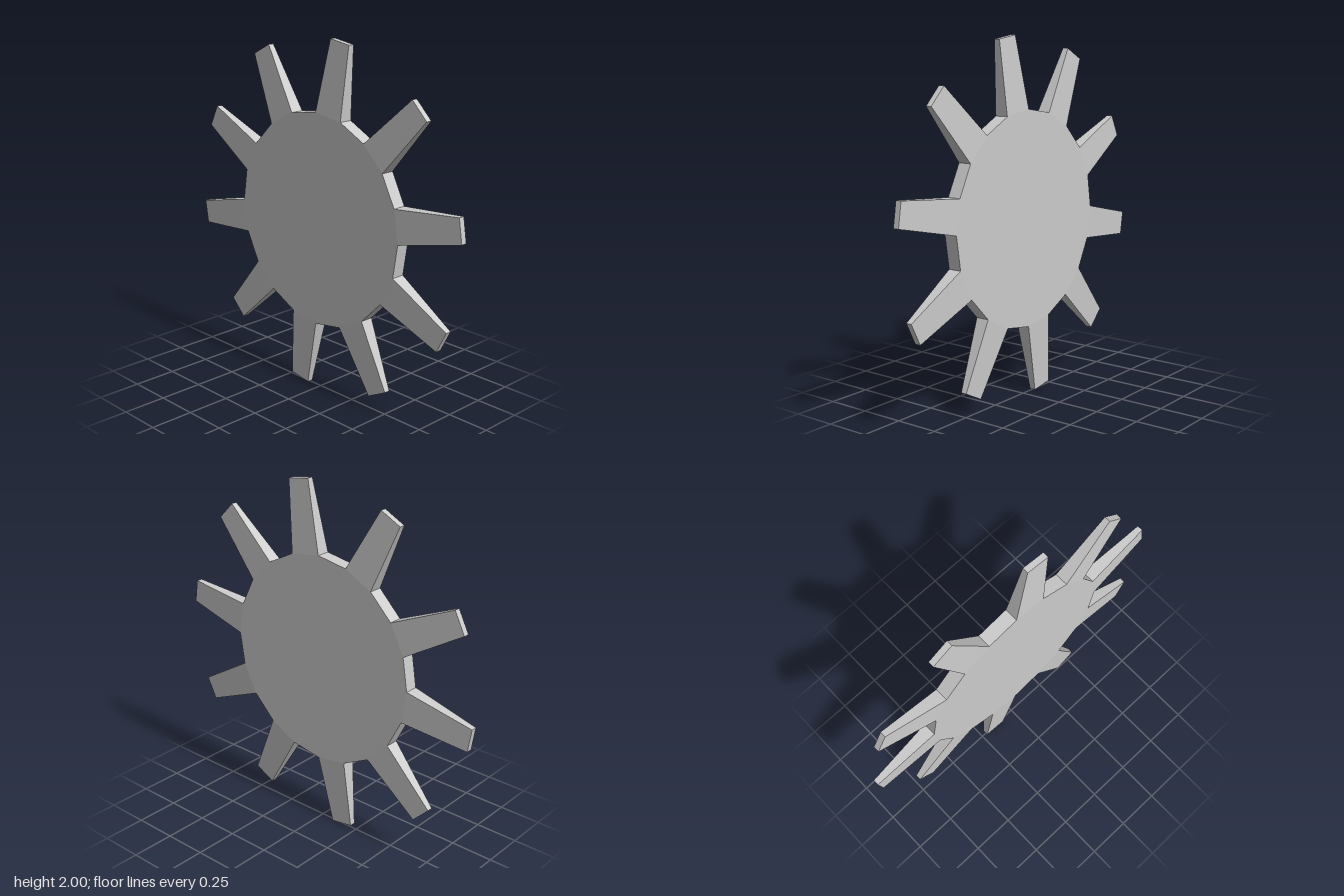
import * as THREE from 'three';

const SIDES = 20, RADIUS = 0.605, HALF_THICK = 0.039;
const TIP_RADIUS = 1.002, TIP_HALF_WIDTH = 0.068, TIP_HALF_THICK = 0.017;

// Tapered block standing on one flat of the disc, pointing up from the hub centre
function toothGeometry() {
  const step = Math.PI / SIDES;
  const baseY = RADIUS * Math.cos(step), baseHalfWidth = RADIUS * Math.sin(step);
  const geo = new THREE.BoxGeometry(2, 2, 2);
  const p = geo.attributes.position;
  for (let i = 0; i < p.count; i++) {
    const tip = p.getY(i) > 0;
    p.setXYZ(i,
      p.getX(i) * (tip ? TIP_HALF_THICK : HALF_THICK),
      tip ? TIP_RADIUS : baseY,
      p.getZ(i) * (tip ? TIP_HALF_WIDTH : baseHalfWidth));
  }
  geo.computeVertexNormals();
  return geo;
}

export function createModel() {
  const material = new THREE.MeshStandardMaterial({ color: 0xcccccc, flatShading: true });
  const gear = new THREE.Group();
  gear.name = 'gear';
  gear.position.y = 1;

  // Twenty-sided disc with its axis along x
  const discGeo = new THREE.CylinderGeometry(RADIUS, RADIUS, HALF_THICK * 2, SIDES);
  discGeo.rotateZ(Math.PI / 2);
  const disc = new THREE.Mesh(discGeo, material);
  disc.name = 'disc';
  gear.add(disc);

  // A tooth on every second flat
  const geo = toothGeometry();
  for (let i = 0; i < SIDES / 2; i++) {
    const tooth = new THREE.Mesh(geo, material);
    tooth.name = `tooth${i + 1}`;
    tooth.rotation.x = ((4 * i + 1) * Math.PI) / SIDES;
    gear.add(tooth);
  }

  const model = new THREE.Group();
  model.name = 'toothedWheel';
  model.add(gear);
  return model;
}
